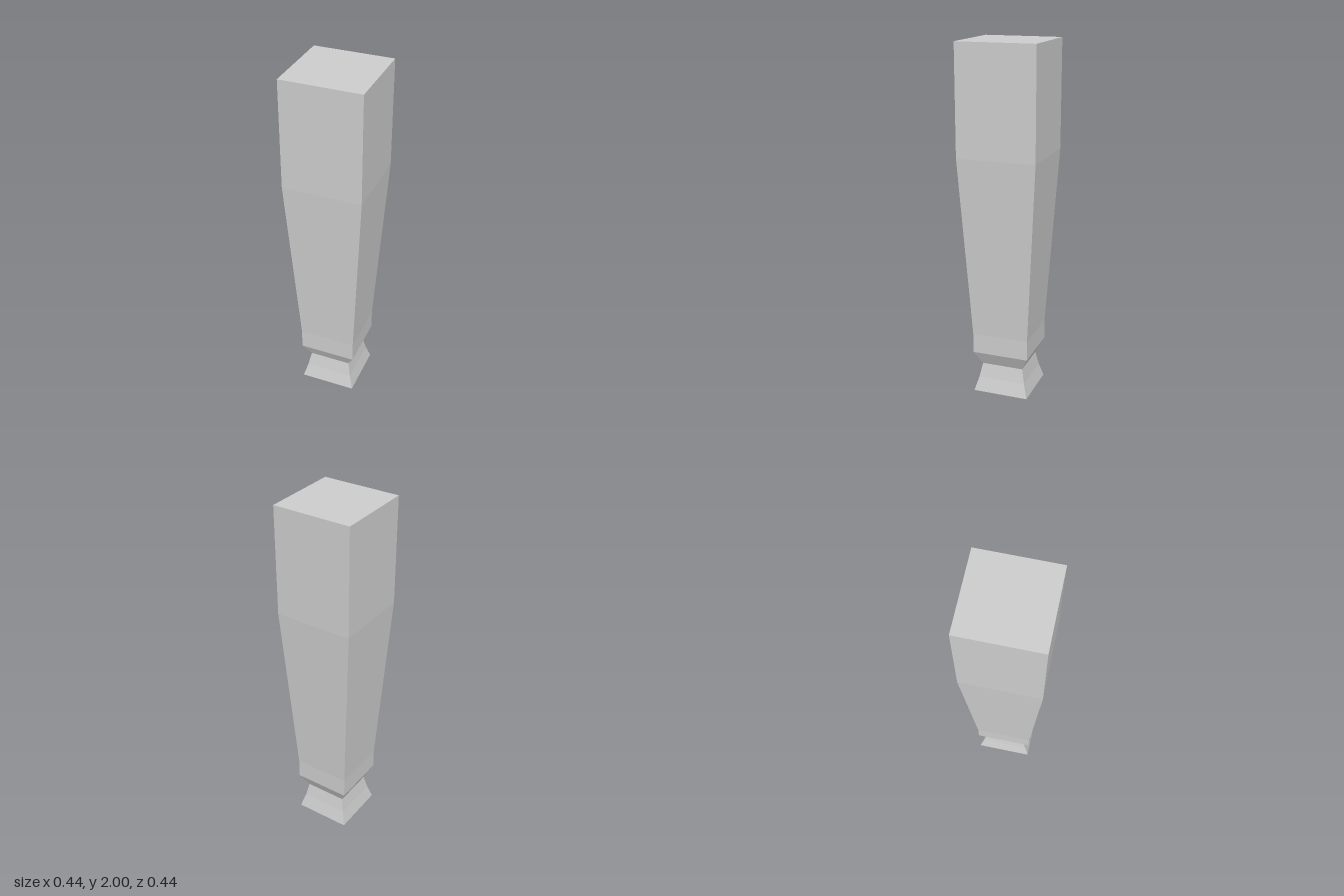
import * as THREE from 'three';

const material = new THREE.MeshStandardMaterial({ color: 0xcccccc, flatShading: true });

// Square-section part from [half width, height] pairs, listed bottom to top
function squareTurned(name, profile) {
  const points = profile.map(([half, y]) => new THREE.Vector2(half * Math.SQRT2, y));
  const mesh = new THREE.Mesh(new THREE.LatheGeometry(points, 4, Math.PI / 4), material);
  mesh.name = name;
  return mesh;
}

export function createModel() {
  const leg = new THREE.Group();
  leg.name = 'furnitureLeg';

  // Flared foot, closed underneath
  leg.add(squareTurned('foot', [[0, 0], [0.16, 0], [0.137, 0.08], [0.12, 0.163]]));

  // Chamfer spreading from the neck to a short straight ankle
  leg.add(squareTurned('ankle', [[0.12, 0.163], [0.162, 0.245], [0.162, 0.36]]));

  // Tapered shaft
  leg.add(squareTurned('shaft', [[0.162, 0.36], [0.222, 1.39]]));

  // Straight upper block, closed on top
  leg.add(squareTurned('topBlock', [[0.222, 1.39], [0.222, 2], [0, 2]]));

  return leg;
}
